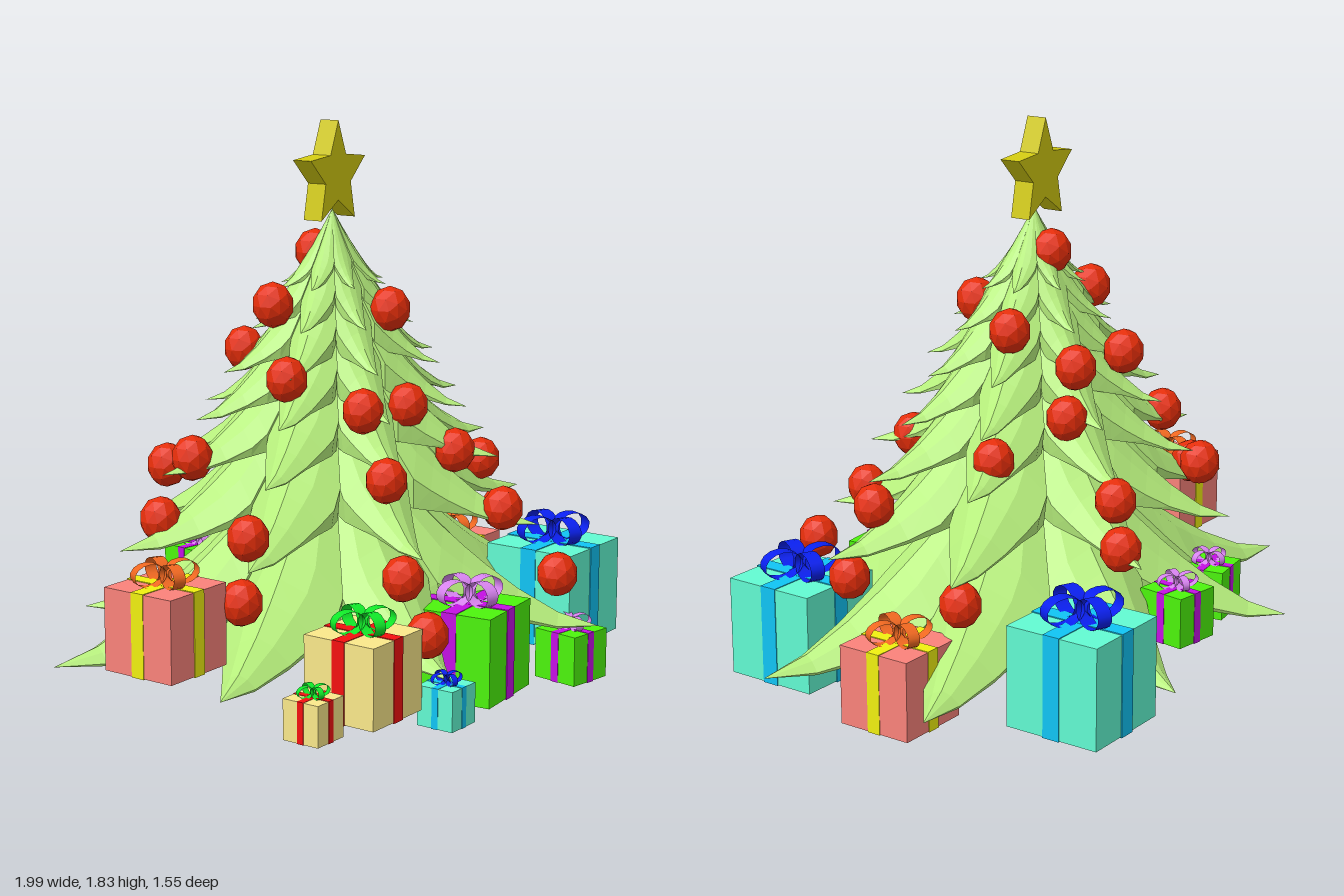
import * as THREE from 'three';

const mat = (color, extra = {}) => new THREE.MeshStandardMaterial({ color, ...extra });

function part(parent, name, geometry, material, x = 0, y = 0, z = 0) {
  const mesh = new THREE.Mesh(geometry, material);
  mesh.name = name;
  mesh.position.set(x, y, z);
  parent.add(mesh);
  return mesh;
}

// Branch directions: [angle in degrees, reach of the lowest tier]
const DIRECTIONS = [[17, 1.04], [62, 0.87], [117, 0.79], [163.6, 0.96],
  [200, 1.02], [241, 0.83], [295, 0.86], [343, 1.02]];

// Tiers: [height of tip, reach relative to the lowest tier, rise towards the trunk]
const TIERS = [[0.21, 1, 0.7], [0.54, 0.77, 0.62], [0.76, 0.62, 0.53], [0.92, 0.5, 0.49],
  [1.06, 0.4, 0.43], [1.19, 0.3, 0.35], [1.31, 0.2, 0.24]];

// Tangent of half the gap between a branch and its neighbour
function gapTan(i, step) {
  const n = DIRECTIONS.length;
  const gap = (step * (DIRECTIONS[(i + step + n) % n][0] - DIRECTIONS[i][0]) + 360) % 360;
  return Math.tan(THREE.MathUtils.degToRad(gap / 2));
}

// One tier: broad ridged leaves that meet in valleys, with a lip and a flat underside
function tierGeometry(tipY, reach, rise) {
  const stations = [0, 0.15, 0.3, 0.42, 0.5, 0.58, 0.7, 0.85, 1];
  const n = 8; // ridge, shoulder, edge, lip, underside, lip, edge, shoulder
  const pos = [], index = [];
  DIRECTIONS.forEach(([degrees, length], d) => {
    const a = THREE.MathUtils.degToRad(degrees);
    const c = Math.cos(a), s = Math.sin(a);
    const R = length * reach;
    const tans = [gapTan(d, 1), gapTan(d, -1)];
    const base = pos.length / 3;
    stations.forEach((t, i) => {
      const r = t * R;
      const ridge = tipY + rise * Math.pow(1 - t, 1.5);
      const flat = tipY + 0.2 * rise * (1 - t);
      const [w1, w2] = tans.map((k) => Math.min(1.04 * k * t, 0.38 * (1 - t)) * R);
      const edge1 = ridge - 0.7 * w1, edge2 = ridge - 0.7 * w2;
      const lip1 = Math.min(flat, edge1 - 0.15 * w1), lip2 = Math.min(flat, edge2 - 0.15 * w2);
      const section = [[0, ridge], [0.5 * w1, ridge - 0.22 * w1], [w1, edge1], [0.93 * w1, lip1],
        [0, Math.min(flat, ridge)], [-0.93 * w2, lip2], [-w2, edge2], [-0.5 * w2, ridge - 0.22 * w2]];
      for (const [u, y] of section) pos.push(r * c - u * s, y, r * s + u * c);
      if (i === 0) return;
      for (let k = 0; k < n; k++) {
        const p = base + (i - 1) * n + k, q = base + (i - 1) * n + (k + 1) % n;
        index.push(p, q, p + n, q, q + n, p + n);
      }
    });
  });
  const g = new THREE.BufferGeometry();
  g.setAttribute('position', new THREE.Float32BufferAttribute(pos, 3));
  g.setIndex(index);
  g.computeVertexNormals();
  return g;
}

function starGeometry(outer, inner, depth) {
  const shape = new THREE.Shape();
  for (let i = 0; i < 10; i++) {
    const r = i % 2 ? inner : outer, a = Math.PI / 2 + i * Math.PI / 5;
    shape[i ? 'lineTo' : 'moveTo'](r * Math.cos(a), 1.13 * r * Math.sin(a));
  }
  shape.closePath();
  return new THREE.ExtrudeGeometry(shape, { depth, bevelEnabled: false }).translate(0, 0, -depth / 2);
}

// Wrapped box with crossed ribbons and a bow of four loops
function gift([boxColor, ribbonColor, bowColor], s) {
  const g = new THREE.Group();
  g.name = 'gift';
  const ribbon = mat(ribbonColor);
  part(g, 'giftBox', new THREE.BoxGeometry(s, s, s), mat(boxColor));
  part(g, 'ribbonAcross', new THREE.BoxGeometry(s * 1.015, s * 1.015, s * 0.18), ribbon);
  part(g, 'ribbonAlong', new THREE.BoxGeometry(s * 0.18, s * 1.02, s * 1.02), ribbon);
  const bow = new THREE.Group();
  bow.name = 'bow';
  bow.position.y = s * 0.64;
  bow.rotation.y = -0.44;
  const bowMat = mat(bowColor, { side: THREE.DoubleSide });
  const loop = new THREE.CylinderGeometry(1, 1, s * 0.15, 14, 1, true)
    .rotateX(Math.PI / 2).scale(s * 0.2, s * 0.14, 1).translate(s * 0.21, 0, 0);
  for (let i = 0; i < 4; i++) part(bow, 'bowLoop', loop, bowMat).rotation.y = i * Math.PI / 2;
  g.add(bow);
  return g;
}

const SALMON = [0xfa827a, 0xf0f010, 0xf06820];
const TEAL = [0x62fad2, 0x10c4f4, 0x0a20f0];
const GREEN = [0x4cf40c, 0xc410e4, 0xd884f0];
const CREAM = [0xfae88a, 0xf41010, 0x10e828];

// Gifts: [colors, size, x, y, z, turn in degrees]
const GIFTS = [
  [SALMON, 0.255, -0.87, 0.385, 0.025, 0], [SALMON, 0.255, 0.755, 0.205, -0.035, 0],
  [TEAL, 0.32, 0.565, 0.3, -0.575, 0], [TEAL, 0.32, 0.625, 0.245, 0.465, 0],
  [TEAL, 0.125, -0.37, 0.142, 0.693, 0],
  [GREEN, 0.285, 0, 0.2, 0.535, 6], [GREEN, 0.165, 0.455, 0.087, 0.64, -9],
  [GREEN, 0.165, -0.45, 0.225, -0.4, 9], [GREEN, 0.165, -0.03, 0.295, -0.537, -8],
  [CREAM, 0.25, -0.57, 0.26, 0.53, 0], [CREAM, 0.125, -0.81, 0.185, 0.525, 0],
];

// Bauble centres
const BAUBLES = [
  [0.065, 1.235, 0.18], [-0.22, 1.26, -0.07], [0.235, 1.2, -0.075], [-0.32, 1.05, 0.06],
  [-0.18, 0.95, 0.25], [0.05, 0.935, 0.26], [0.25, 0.88, -0.035], [-0.485, 0.8, -0.185],
  [-0.23, 0.755, 0.375], [0.175, 0.78, 0.36], [0.41, 0.835, -0.14], [0.565, 0.665, 0.21],
  [0.245, 0.595, 0.5], [-0.625, 0.62, 0.145], [-0.32, 0.485, 0.5], [-0.38, 0.345, 0.63],
  [0.29, 0.395, 0.68], [-0.69, 0.44, 0.17], [0.69, 0.47, 0.21], [0.69, 0.47, -0.22],
  [-0.565, 0.61, -0.25], [-0.295, 0.71, -0.45], [0.245, 0.575, -0.5], [0.2, 0.71, -0.45],
  [-0.12, 1.09, -0.265], [0.15, 1.095, -0.265], [0.19, 0.94, -0.26], [-0.01, 1.41, -0.06],
];

export function createModel() {
  const model = new THREE.Group();
  model.name = 'decoratedTree';

  // Trunk
  part(model, 'trunk', new THREE.CylinderGeometry(0.055, 0.055, 0.6, 10),
    mat(0x42241c, { flatShading: true }), -0.01, 0.312, -0.03);

  // Branch tiers
  const leaf = mat(0xb6ee7c, { flatShading: true, side: THREE.DoubleSide });
  for (const tier of TIERS) part(model, 'branchTier', tierGeometry(...tier), leaf);

  // Star on top
  part(model, 'star', starGeometry(0.152, 0.07, 0.07), mat(0xd2ca12, { flatShading: true }), -0.015, 1.658, 0);

  // Baubles
  const red = mat(0xe62e0a, { flatShading: true });
  const ball = new THREE.IcosahedronGeometry(0.066, 1).scale(1, 1.12, 1);
  for (const [x, y, z] of BAUBLES) part(model, 'bauble', ball, red, x, y, z);

  // Gifts around the tree
  for (const [colors, size, x, y, z, turn] of GIFTS) {
    const g = gift(colors, size);
    g.position.set(x, y, z);
    g.rotation.y = THREE.MathUtils.degToRad(turn);
    model.add(g);
  }
  return model;
}
